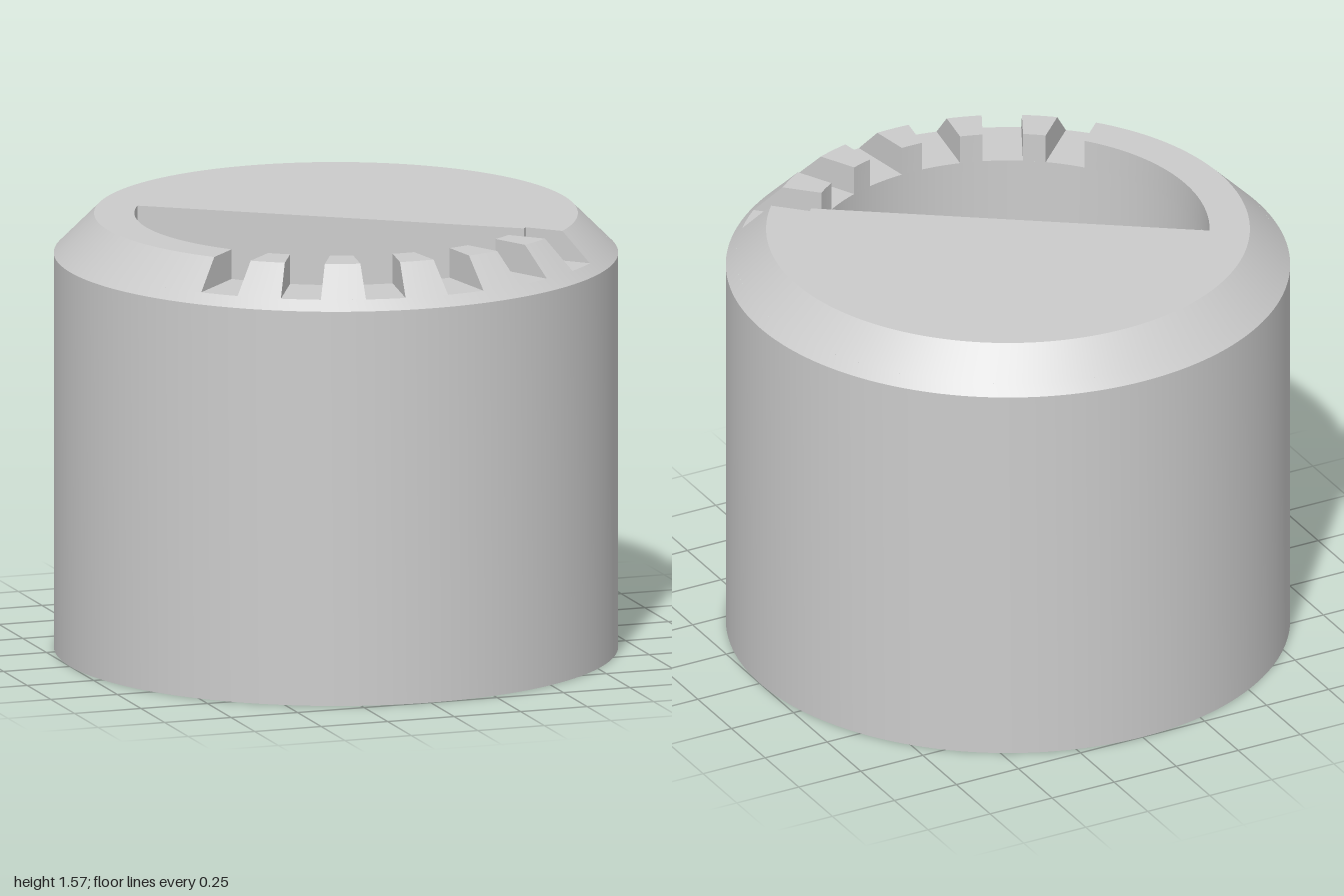
import * as THREE from 'three';
import { toCreasedNormals } from 'three/addons/utils/BufferGeometryUtils.js';

const U = 1 / 7;                       // design unit
const R_BODY = 1, R_TOP = 6 * U, R_POCKET = 5 * U, R_SLOT = 6.75 * U;
const Y_SHOULDER = 10 * U, Y_SLOT = 10.25 * U, Y_TOP = 11 * U, Y_FLOOR = 2 * U;
const HALF = 0.5 * U;                  // half width of a slot
const rad = THREE.MathUtils.degToRad;
const SLOTS = [-45, -27, -9, 9, 27, 45].map(rad);
const CHORD_A = rad(49.1), CHORD_B = rad(-119.5);  // ends of the flat pocket wall

// Points on an arc; angle 0 faces +z and grows towards +x (Vector2 holds x, z)
function arc(r, a0, a1, n) {
  return Array.from({ length: n + 1 }, (_, i) => {
    const a = a0 + (a1 - a0) * i / n;
    return new THREE.Vector2(r * Math.sin(a), r * Math.cos(a));
  });
}
const off = r => Math.asin(HALF / r);  // angle between slot centre and slot side

// Flat face at height y, looking up
function cap(loop, y) {
  const g = new THREE.ShapeGeometry(new THREE.Shape(loop.map(p => new THREE.Vector2(p.x, -p.y))));
  return g.rotateX(-Math.PI / 2).translate(0, y, 0);
}

// Walls joining two matching closed outlines
function walls(low, high, y0, y1) {
  const pos = [];
  low.forEach((a, i) => {
    const j = (i + 1) % low.length, b = low[j], c = high[j], d = high[i];
    pos.push(a.x, y0, a.y, b.x, y0, b.y, c.x, y1, c.y);
    pos.push(a.x, y0, a.y, c.x, y1, c.y, d.x, y1, d.y);
  });
  const g = new THREE.BufferGeometry();
  g.setAttribute('position', new THREE.Float32BufferAttribute(pos, 3));
  return toCreasedNormals(g, rad(30));
}

export function createModel() {
  const model = new THREE.Group();
  const mat = new THREE.MeshStandardMaterial({ color: 0xcccccc });
  const add = (name, geometry) => {
    const mesh = new THREE.Mesh(geometry, mat);
    mesh.name = name;
    model.add(mesh);
  };

  // Outer body: base, side and the chamfer up to the slot floors
  const profile = [[0, 0], [R_BODY, 0], [R_BODY, Y_SHOULDER], [R_SLOT, Y_SLOT]];
  const body = new THREE.LatheGeometry(profile.map(p => new THREE.Vector2(...p)), 180);
  add('body', toCreasedNormals(body, rad(30)));

  // D-shaped pocket
  const dLoop = arc(R_POCKET, CHORD_B, CHORD_A, 90);
  const inward = [...dLoop].reverse();
  add('pocketWall', walls(inward, inward, Y_FLOOR, Y_SLOT));
  add('pocketFloor', cap(dLoop, Y_FLOOR));

  // Slot floors
  SLOTS.forEach((s, i) => {
    const ro = off(R_SLOT), ri = off(R_POCKET);
    add('slotFloor' + (i + 1), cap([
      ...arc(R_SLOT, s - ro, s + ro, 5),
      ...arc(R_POCKET, s + ri, s - ri, 6)], Y_SLOT));
  });

  // Raised part above the slot floors, with a tapering outer radius
  const raise = (name, loop) => {
    add(name + 'Walls', walls(loop(R_SLOT), loop(R_TOP), Y_SLOT, Y_TOP));
    add(name + 'Top', cap(loop(R_TOP), Y_TOP));
  };
  const last = SLOTS[5], first = SLOTS[0] + 2 * Math.PI;
  raise('crown', r => [
    ...arc(r, last + off(r), first - off(r), 130),
    ...arc(R_POCKET, first - off(R_POCKET), CHORD_B + 2 * Math.PI, 40),
    ...arc(R_POCKET, CHORD_A, last + off(R_POCKET), 1)]);

  // Teeth between the slots
  for (let i = 0; i < 5; i++) {
    const a = SLOTS[i], b = SLOTS[i + 1];
    raise('tooth' + (i + 1), r => [
      ...arc(r, a + off(r), b - off(r), 5),
      ...arc(R_POCKET, b - off(R_POCKET), a + off(R_POCKET), 4)]);
  }
  return model;
}
